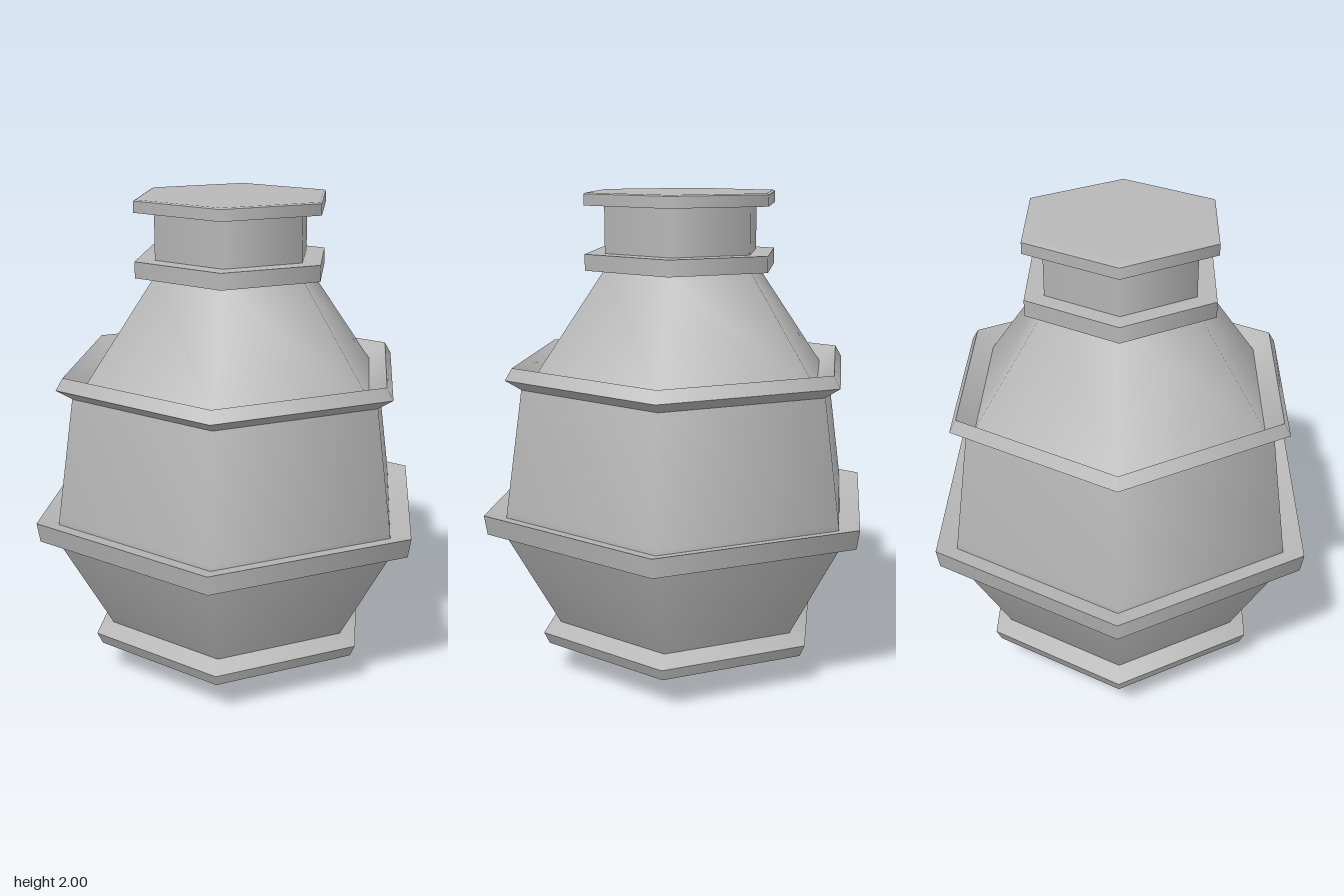
import * as THREE from 'three';
import { mergeGeometries } from 'three/addons/utils/BufferGeometryUtils.js';

const SIDES = 6;

// Six-sided turned shape with corners on the x axis; profile runs bottom to top as [radius, y]
function hexLathe(profile) {
  const points = profile.map(([r, y]) => new THREE.Vector2(r, y));
  return new THREE.LatheGeometry(points, SIDES, Math.PI / 6);
}

// Same, but with a sharp edge at every profile point
function sharpHexLathe(profile) {
  const strips = [];
  for (let i = 0; i < profile.length - 1; i++) strips.push(hexLathe([profile[i], profile[i + 1]]));
  return mergeGeometries(strips);
}

export function createModel() {
  const group = new THREE.Group();
  const grey = new THREE.MeshStandardMaterial({ color: 0xb8b8b8 });
  grey.name = 'grey';

  const add = (name, geometry) => {
    const mesh = new THREE.Mesh(geometry, grey);
    mesh.name = name;
    group.add(mesh);
  };

  // Pot body and neck
  add('body', hexLathe([
    [0.55, 0.22], [0.78, 0.64], [0.77, 0.73], [0.695, 1.23], [0.66, 1.25], [0.335, 1.7],
  ]));
  add('neck', hexLathe([[0.335, 1.7], [0.335, 1.96]]));

  // Shallow pointed underside
  add('base', hexLathe([[0, 0], [0.55, 0.187]]));

  // Foot rim, sloping outward on top
  add('footRim', sharpHexLathe([
    [0.53, 0.18], [0.54, 0.14], [0.605, 0.14], [0.628, 0.19], [0.55, 0.23],
  ]));

  // Wide belly band
  add('bellyBand', sharpHexLathe([
    [0.77, 0.635], [0.852, 0.65], [0.865, 0.73], [0.77, 0.71],
  ]));

  // Shoulder band with a raised lip
  add('shoulderBand', sharpHexLathe([
    [0.69, 1.23], [0.76, 1.275], [0.73, 1.323], [0.65, 1.26],
  ]));

  // Collar below the neck
  add('collar', sharpHexLathe([
    [0.33, 1.695], [0.42, 1.695], [0.42, 1.76], [0.33, 1.76],
  ]));

  // Lid with a softened top
  add('lidRim', sharpHexLathe([[0.33, 1.95], [0.42, 1.95], [0.42, 1.995]]));
  add('lidTop', hexLathe([[0.42, 1.995], [0.41, 2], [0.36, 2], [0, 2]]));

  return group;
}
